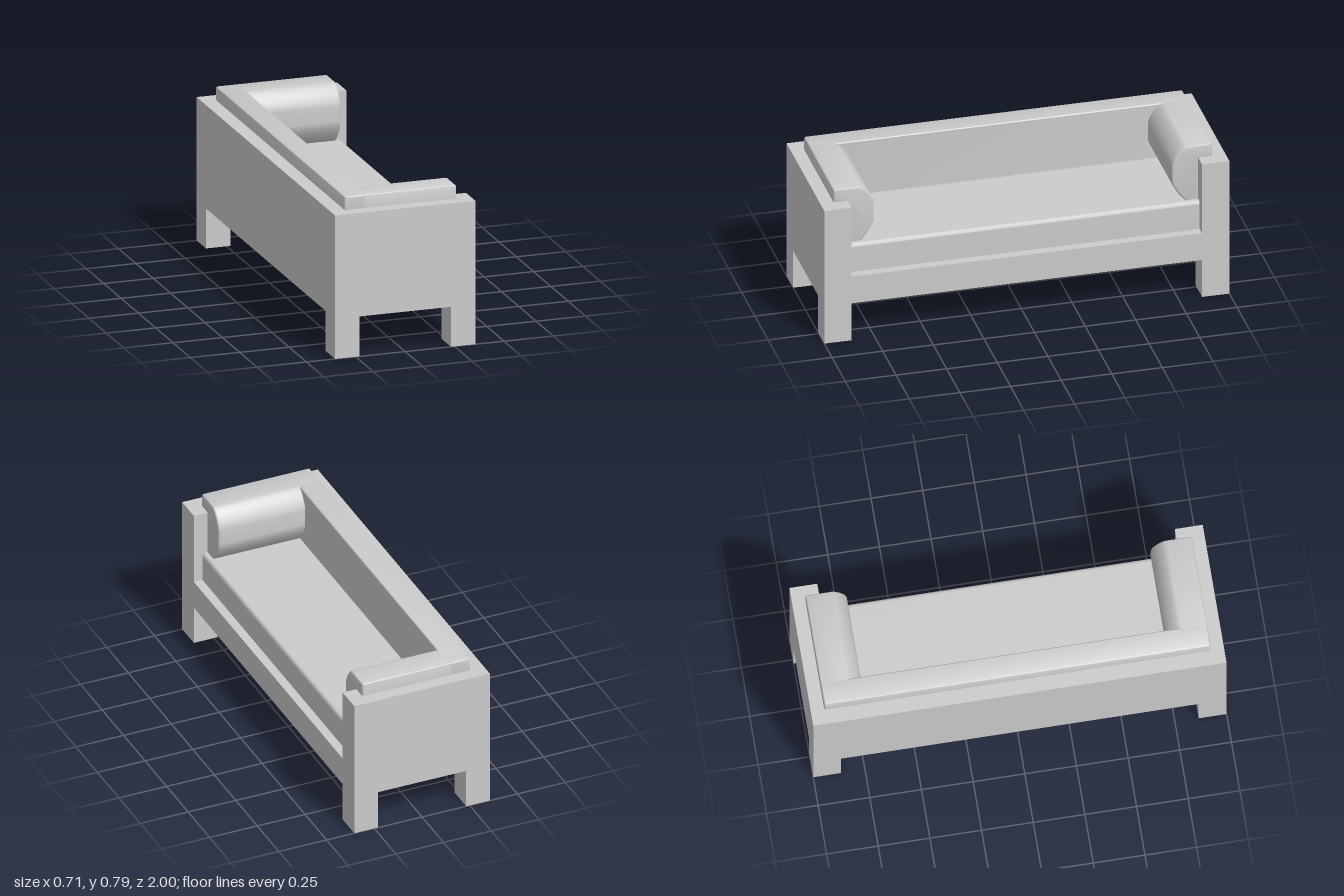
import * as THREE from 'three';
import { toCreasedNormals } from 'three/addons/utils/BufferGeometryUtils.js';

const material = new THREE.MeshStandardMaterial({ color: 0xcccccc });

// Box given by its minimum and maximum corners
function box(name, [x0, y0, z0], [x1, y1, z1]) {
  const geo = new THREE.BoxGeometry(x1 - x0, y1 - y0, z1 - z0);
  geo.translate((x0 + x1) / 2, (y0 + y1) / 2, (z0 + z1) / 2);
  const mesh = new THREE.Mesh(geo, material);
  mesh.name = name;
  return mesh;
}

// Extrusion of the given length whose softened ends stay inside it
function extrude(shape, length, bevel) {
  return new THREE.ExtrudeGeometry(shape, {
    depth: length - 2 * bevel, curveSegments: 20,
    bevelEnabled: bevel > 0, bevelThickness: bevel, bevelSize: bevel,
    bevelOffset: -bevel, bevelSegments: 3,
  }).translate(0, 0, bevel);
}

function cushion(name, geo) {
  const mesh = new THREE.Mesh(toCreasedNormals(geo, 0.55), material);
  mesh.name = name;
  return mesh;
}

export function createModel() {
  const sofa = new THREE.Group();
  sofa.name = 'sofa';
  const W = 0.355, armIn = 0.865, armTop = 0.718, legTop = 0.2;
  const seatTop = 0.495, top = 0.785, r = 0.012;

  // Frame: base, back panel, two arms
  sofa.add(box('base', [-W, legTop, -armIn], [W, 0.345, armIn]));
  sofa.add(box('backPanel', [-W, 0.345, -armIn], [-0.22, armTop, armIn]));
  for (const s of [-1, 1]) {
    const z0 = s > 0 ? armIn : -1, z1 = s > 0 ? 1 : -armIn;
    sofa.add(box(s > 0 ? 'armLeft' : 'armRight', [-W, legTop, z0], [W, armTop, z1]));
    sofa.add(box('frontLeg', [0.231, 0, z0], [W, legTop, z1]));
    sofa.add(box('backLeg', [-W, 0, z0], [-0.231, legTop, z1]));
  }

  // Seat cushion with a rounded front edge
  const seat = new THREE.Shape();
  seat.moveTo(-0.22, 0.345);
  seat.lineTo(0.31, 0.345);
  seat.lineTo(0.31, seatTop - 0.02);
  seat.quadraticCurveTo(0.31, seatTop, 0.29, seatTop);
  seat.lineTo(-0.22, seatTop);
  seat.closePath();
  sofa.add(cushion('seatCushion', extrude(seat, 2 * armIn, 0).translate(0, 0, -armIn)));

  // Back cushion lapping over the back panel
  const back = new THREE.Shape();
  back.moveTo(-0.22, 0.48);
  back.lineTo(-0.17, 0.48);
  back.lineTo(-0.17, top - 0.004);
  back.lineTo(-0.174, top);
  back.lineTo(-0.283 + r, top);
  back.quadraticCurveTo(-0.283, top, -0.283, top - r);
  back.lineTo(-0.283, 0.70);
  back.lineTo(-0.22, 0.70);
  back.closePath();
  sofa.add(cushion('backCushion', extrude(back, 1.87, 0.01).translate(0, 0, -0.935)));

  // Arm cushions: lapped over the arm, bulging inwards like a bolster
  for (const s of [-1, 1]) {
    const arm = new THREE.Shape();
    arm.moveTo(s * 0.875, 0.48);
    arm.lineTo(s * 0.875, 0.70);
    arm.lineTo(s * 0.935, 0.70);
    arm.lineTo(s * 0.935, top - r);
    arm.quadraticCurveTo(s * 0.935, top, s * (0.935 - r), top);
    arm.lineTo(s * 0.81, top);
    arm.bezierCurveTo(s * 0.785, top, s * 0.735, 0.725, s * 0.735, 0.68);
    arm.lineTo(s * 0.735, 0.61);
    arm.bezierCurveTo(s * 0.735, 0.57, s * 0.78, 0.515, s * 0.81, 0.48);
    arm.closePath();
    const geo = extrude(arm, 0.553, 0.01).rotateY(-Math.PI / 2).translate(0.283, 0, 0);
    sofa.add(cushion(s > 0 ? 'armCushionLeft' : 'armCushionRight', geo));
  }
  return sofa;
}
